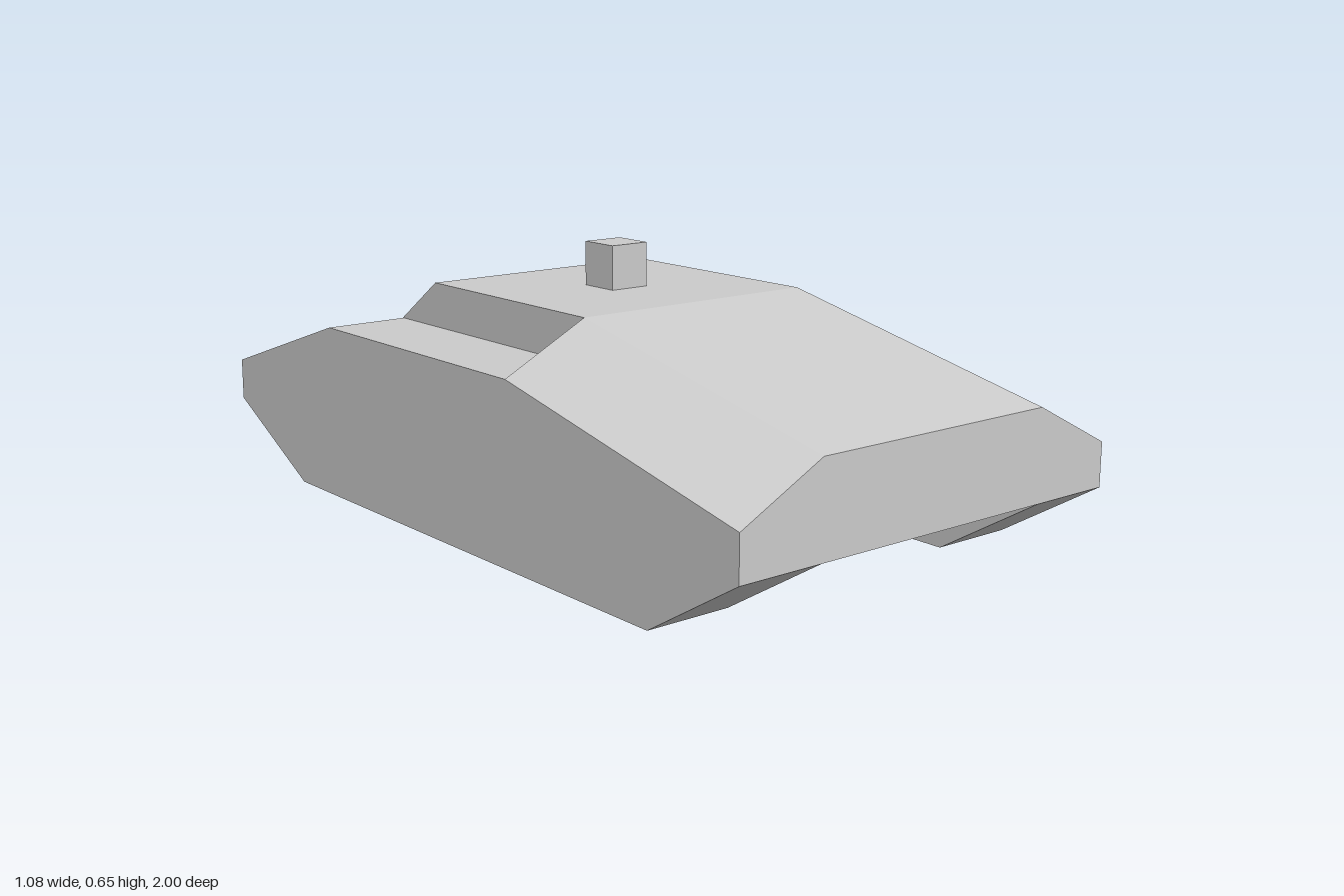
import * as THREE from 'three';

const grey = new THREE.MeshStandardMaterial({ color: 0xcccccc, flatShading: true });

const INNER = 0.325, OUTER = 0.54;       // half widths of hull and whole vehicle
const FRONT = 1, RIDGE = 0.245;          // z where the front slope starts and ends
const DECK = 0.43, ROOF = 0.54, BELLY = 0.165, NOSE = 0.27;
const RISE = ROOF - DECK;

const shapeOf = (points) => new THREE.Shape(points.map(([a, b]) => new THREE.Vector2(a, b)));

function addMesh(group, name, geometry) {
  const mesh = new THREE.Mesh(geometry, grey);
  mesh.name = name;
  group.add(mesh);
}

// Side profile of [z, y] points, extruded across x from x0 to x1
function sideExtrude(profile, x0, x1) {
  const geometry = new THREE.ExtrudeGeometry(shapeOf(profile), { depth: x1 - x0, bevelEnabled: false });
  return geometry.rotateY(-Math.PI / 2).translate(x1, 0, 0);
}

// Triangular wedge beside the front slope, sheared down toward the nose
function cheekGeometry(side) {
  const triangle = [[side * INNER, DECK], [side * OUTER, DECK], [side * INNER, ROOF]];
  const length = FRONT - RIDGE;
  const geometry = new THREE.ExtrudeGeometry(shapeOf(triangle), { depth: length, bevelEnabled: false });
  const pos = geometry.attributes.position;
  for (let i = 0; i < pos.count; i++) {
    pos.setY(i, pos.getY(i) - (pos.getZ(i) / length) * (DECK - NOSE));
  }
  geometry.translate(0, 0, RIDGE);
  geometry.computeVertexNormals();
  return geometry;
}

export function createModel() {
  const model = new THREE.Group();
  model.name = 'armouredVehicle';

  // Central hull with sloped front and back
  const hull = [[FRONT, BELLY], [FRONT, NOSE + RISE], [RIDGE, ROOF], [-0.362, ROOF], [-0.895, BELLY]];
  addMesh(model, 'hull', sideExtrude(hull, -INNER, INNER));

  // Track pods and front cheeks on both sides
  const pod = [
    [FRONT, BELLY], [FRONT, NOSE], [RIDGE, DECK], [-0.515, DECK],
    [-1, NOSE], [-1, BELLY], [-0.675, 0], [0.73, 0],
  ];
  for (const side of [1, -1]) {
    const label = side > 0 ? 'left' : 'right';
    const [x0, x1] = side > 0 ? [INNER, OUTER] : [-OUTER, -INNER];
    addMesh(model, label + 'TrackPod', sideExtrude(pod, x0, x1));
    addMesh(model, label + 'FrontCheek', cheekGeometry(side));
  }

  // Small hatch block on the roof
  addMesh(model, 'roofBlock', new THREE.BoxGeometry(0.106, 0.108, 0.106).translate(0, ROOF + 0.054, -0.053));

  return model;
}
